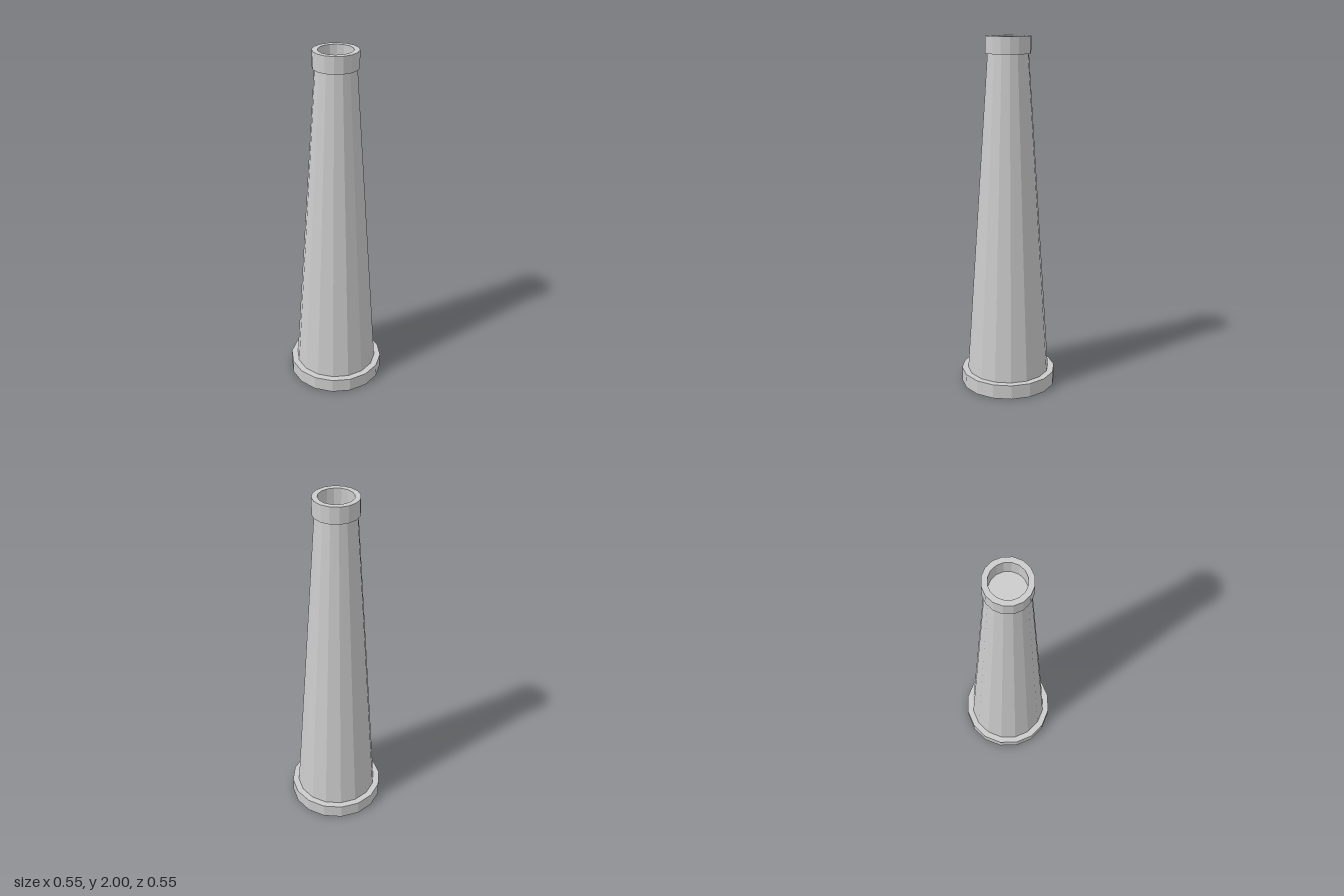
import * as THREE from 'three';

const SIDES = 16;
const BASE_TOP = 0.082;
const RIM_BOTTOM = 1.906;

export function createModel() {
  const group = new THREE.Group();
  const material = new THREE.MeshStandardMaterial({ color: 0xcccccc, flatShading: true });

  const add = (name, geometry, y = 0) => {
    const mesh = new THREE.Mesh(geometry, material);
    mesh.name = name;
    mesh.position.y = y;
    group.add(mesh);
  };

  // Low plinth at the foot
  add('base', new THREE.CylinderGeometry(0.273, 0.273, BASE_TOP, SIDES), BASE_TOP / 2);

  // Tapering chimney shaft; its top cap is the floor of the opening
  const height = RIM_BOTTOM - BASE_TOP;
  add('shaft', new THREE.CylinderGeometry(0.113, 0.236, height, SIDES), BASE_TOP + height / 2);

  // Hollow collar around the mouth
  const profile = [
    [0.095, RIM_BOTTOM], [0.125, RIM_BOTTOM], [0.125, 2], [0.095, 2], [0.095, RIM_BOTTOM],
  ].map(([r, y]) => new THREE.Vector2(r, y));
  add('rim', new THREE.LatheGeometry(profile, SIDES));

  return group;
}
